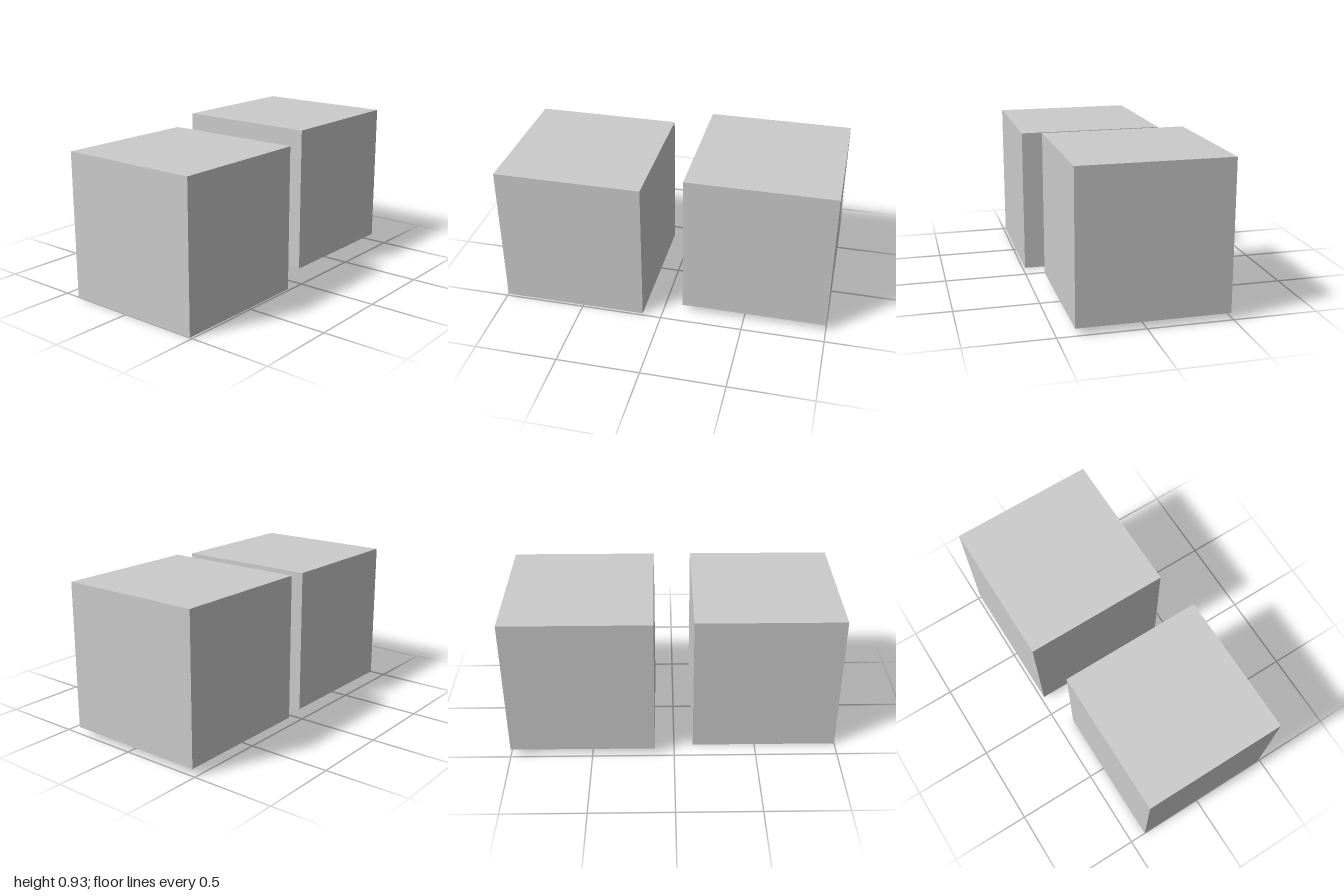
import * as THREE from 'three';

const SIZE = 0.883;

export function createModel() {
  const group = new THREE.Group();
  const geometry = new THREE.BoxGeometry(SIZE, SIZE, SIZE);
  const material = new THREE.MeshStandardMaterial({ color: 0xcccccc, flatShading: true });

  // A cube placed by the centre of its base
  const addCube = (name, x, base, z) => {
    const cube = new THREE.Mesh(geometry, material);
    cube.name = name;
    cube.position.set(x, base + SIZE / 2, z);
    group.add(cube);
  };

  // Two equal cubes, the back one raised slightly and shifted to the right
  addCube('frontCube', 0.0425, 0, 0.5585);
  addCube('backCube', -0.0425, 0.043, -0.5585);

  return group;
}
